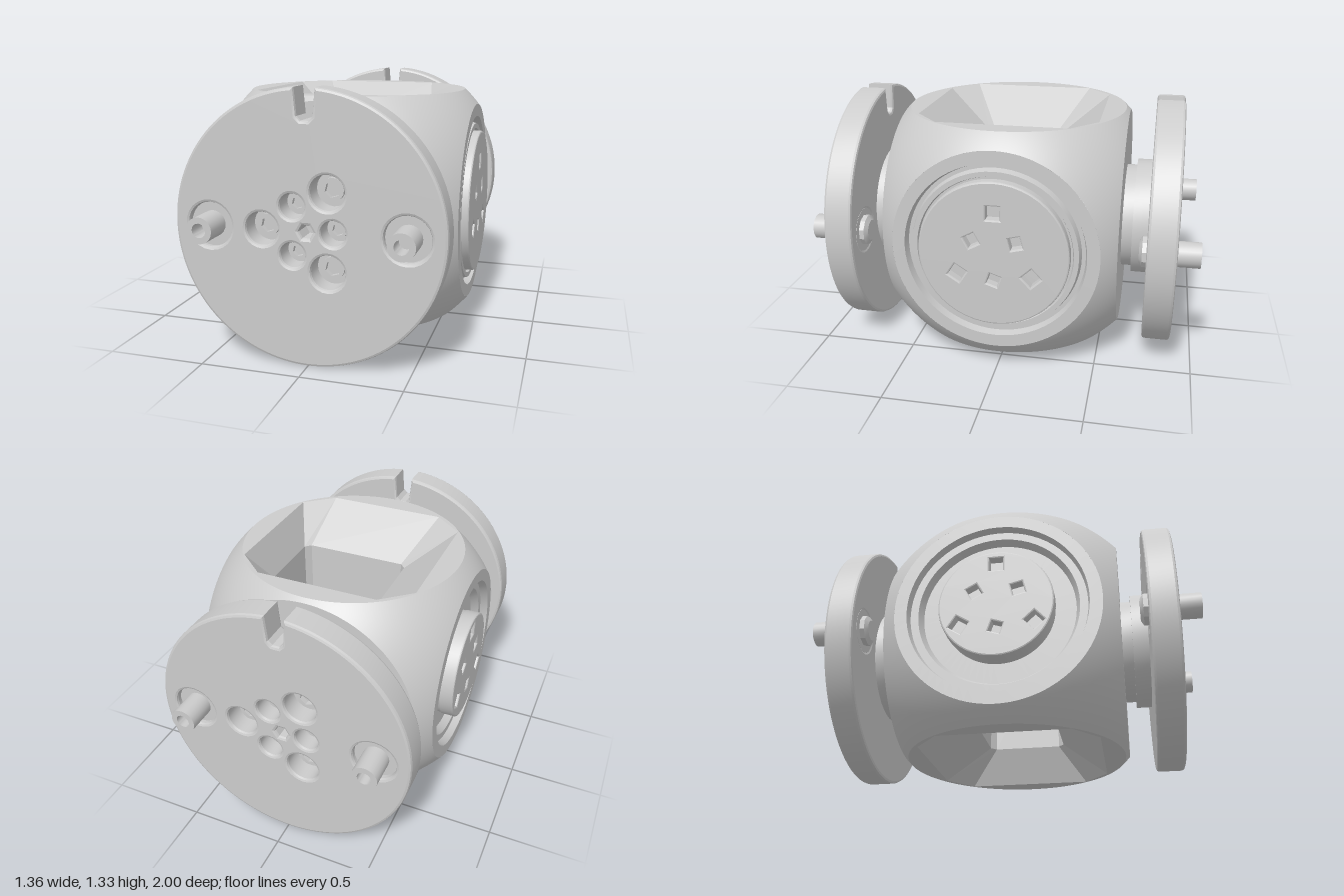
import * as THREE from 'three';
import { toCreasedNormals } from 'three/addons/utils/BufferGeometryUtils.js';

const grey = new THREE.MeshStandardMaterial({ color: 0xcccccc });
const facet = new THREE.MeshStandardMaterial({ color: 0xcccccc, flatShading: true, side: THREE.DoubleSide });
const R = 0.835;                 // sphere that rounds the body
const HALF = [0.65, 0.6, 0.6];   // half sizes of the flat cuts
const rim = (h) => Math.sqrt(R * R - h * h);

function add(parent, name, geometry, material = grey) {
  const mesh = new THREE.Mesh(geometry, material);
  mesh.name = name;
  parent.add(mesh);
  return mesh;
}

// Turned part around +z from [radius, height] pairs
function turned(profile, segments = 48) {
  const pts = profile.map(([r, h]) => new THREE.Vector2(r, h));
  return toCreasedNormals(new THREE.LatheGeometry(pts, segments).rotateX(Math.PI / 2), 0.35);
}

// Regular polygon path, used for outlines and holes
function ngon(x, y, r, n, turn = 0, Type = THREE.Path) {
  const pts = [];
  for (let i = 0; i < n; i++) {
    const a = turn + (i / n) * Math.PI * 2;
    pts.push(new THREE.Vector2(x + r * Math.cos(a), y + r * Math.sin(a)));
  }
  return new Type(pts);
}

// Plate between z0 and z1 with chamfered edges
function plate(shape, z0, z1, bevel) {
  const geo = new THREE.ExtrudeGeometry(shape, {
    depth: z1 - z0 - 2 * bevel, bevelEnabled: bevel > 0, bevelThickness: bevel,
    bevelSize: bevel, bevelOffset: -bevel, bevelSegments: 2, curveSegments: 64,
  });
  return toCreasedNormals(geo.translate(0, 0, z0 + bevel), 0.3);
}

// Spherical skin: on each side, from the flat's circular rim out to the box border
function skinGeometry() {
  const pos = [], index = [], N = 96, M = 6;
  for (let axis = 0; axis < 3; axis++) for (const sign of [1, -1]) {
    const u = (axis + 1) % 3, v = (axis + 2) % 3, r = rim(HALF[axis]), base = pos.length / 3;
    for (let j = 0; j <= M; j++) for (let i = 0; i <= N; i++) {
      const a = (i / N) * Math.PI * 2, c = Math.cos(a), s = Math.sin(a);
      const k = 1 / Math.max(Math.abs(c), Math.abs(s)), t = j / M;
      const p = [0, 0, 0];
      p[axis] = sign * HALF[axis];
      p[u] = sign * THREE.MathUtils.lerp(r * c, HALF[u] * k * c, t);
      p[v] = THREE.MathUtils.lerp(r * s, HALF[v] * k * s, t);
      pos.push(...new THREE.Vector3(...p).setLength(R).toArray());
      if (i < N && j < M) {
        const q = base + j * (N + 1) + i, o = q + N + 1;
        index.push(q, o, o + 1, q, o + 1, q + 1);
      }
    }
  }
  const geo = new THREE.BufferGeometry();
  geo.setAttribute('position', new THREE.Float32BufferAttribute(pos, 3));
  geo.setAttribute('normal', new THREE.Float32BufferAttribute(pos.map((n) => n / R), 3));
  geo.setIndex(index);
  return geo;
}

// Rectangle with cut corners
function cutRect(cx, w, d, cw, cd) {
  return [[w, -d + cd], [w, d - cd], [w - cw, d], [-w + cw, d], [-w, d - cd], [-w, -d + cd], [-w + cw, -d], [w - cw, -d]]
    .map(([x, z]) => new THREE.Vector2(cx + x, z));
}
const mouth = cutRect(0, 0.465, 0.465, 0.15, 0.13);
const throat = cutRect(0.085, 0.305, 0.217, 0.03, 0.03);

// Passage from top to bottom: a funnel at each end of a straight bore
function passageGeometry() {
  const pos = [], index = [];
  [[mouth, 0.6], [throat, 0.4], [throat, -0.4], [mouth, -0.6]].forEach(([ring, y], j) => {
    ring.forEach((p, i) => {
      pos.push(p.x, y, p.y);
      if (j < 3) {
        const a = j * 8 + i, b = j * 8 + ((i + 1) % 8);
        index.push(a, b, a + 8, b, b + 8, a + 8);
      }
    });
  });
  const geo = new THREE.BufferGeometry();
  geo.setAttribute('position', new THREE.Float32BufferAttribute(pos, 3));
  geo.setIndex(index);
  geo.computeVertexNormals();
  return geo;
}

// Rotating face seated in the side of the body, with six square holes
function rotor(name, radius, bottom, seatProfile) {
  const g = new THREE.Group();
  g.name = name;
  add(g, 'rotorSeat', turned([[rim(0.65), 0.65], [0.46, 0.65], ...seatProfile, [0, 0.63]], 64));
  const face = ngon(0, 0, radius, 48, 0, THREE.Shape);
  [[0, 0.22, 0.05], [0.11, 0.07, 0.043], [-0.11, 0.07, 0.043], [0.19, -0.11, 0.05], [-0.185, -0.11, 0.05], [0, -0.135, 0.04]]
    .forEach(([x, y, r], i) => face.holes.push(ngon(x, y, r, 4, Math.PI / 4 + i * 0.25)));
  add(g, 'rotorFace', plate(face, bottom, 0.68, 0.008));
  return g;
}

// Flange with hub, notch, recessed screws and two pins, facing +z
function flange(name) {
  const g = new THREE.Group();
  g.name = name;
  add(g, 'hub', turned([[0.28, 0.58], [0.28, 0.655], [0.313, 0.655], [0.313, 0.75]]));

  const r = 0.667, bevel = 0.014, gap = 0.05 / r;
  const disc = new THREE.Shape();
  disc.absarc(0, 0, r, Math.PI / 2 + gap, Math.PI * 2.5 - gap, false);
  disc.lineTo(0.038, 0.535);
  disc.lineTo(0.018, 0.515);
  disc.lineTo(-0.018, 0.515);
  disc.lineTo(-0.038, 0.535);
  disc.closePath();

  const screws = [[-0.22, 0, 0.095], [0.105, 0.19, 0.098], [0.105, -0.19, 0.098],
    [-0.068, 0.117, 0.075], [-0.068, -0.117, 0.075], [0.132, 0, 0.075]];
  const pins = [[-0.485, 0, 0.125], [0.482, 0, 0.125]];
  const recesses = [...screws, ...pins, [0, 0, 0.05]];
  recesses.forEach(([x, y, rad], i) => disc.holes.push(ngon(x, y, rad - bevel, i === 8 ? 6 : 24)));
  add(g, 'flangeDisc', plate(disc, 0.737, 0.884, bevel));

  // Floors of the recesses: deep for the screws, shallow around the pins
  recesses.forEach(([x, y, rad], i) => {
    const depth = i === 6 || i === 7 ? 0.11 : 0.035;
    const floor = new THREE.CylinderGeometry(rad - 0.01, rad - 0.01, depth, 24).rotateX(Math.PI / 2);
    add(g, 'recessFloor', toCreasedNormals(floor, 0.6)).position.set(x, y, 0.74 + depth / 2);
  });
  // Screw heads with hex sockets
  screws.forEach(([x, y, rad]) => {
    const head = ngon(0, 0, rad * 0.58, 16, 0, THREE.Shape);
    head.holes.push(ngon(0, 0, rad * 0.4, 6, 0.3));
    add(g, 'screwHead', plate(head, 0.77, 0.8, 0)).position.set(x, y, 0);
  });
  // Hollow pins with a rounded head on the inner side
  pins.forEach(([x, y]) => {
    add(g, 'pin', turned([[0.065, 0.78], [0.065, 1], [0.035, 1], [0.035, 0.9], [0, 0.9]], 20)).position.set(x, y, 0);
    add(g, 'pinHead', turned([[0, 0.7], [0.055, 0.7], [0.08, 0.715], [0.08, 0.75]], 10)).position.set(x, y, 0);
  });
  return g;
}

export function createModel() {
  const model = new THREE.Group();
  model.name = 'jointModule';
  const core = new THREE.Group();
  core.name = 'core';
  core.position.y = 0.667;
  model.add(core);

  add(core, 'bodySkin', skinGeometry());
  add(core, 'passage', passageGeometry(), facet);
  for (const s of [1, -1]) {
    // Flat cuts: top and bottom with the passage mouth, front and back plain
    const top = ngon(0, 0, rim(0.6), 96, 0, THREE.Shape);
    top.holes.push(new THREE.Path(mouth));
    add(core, 'mouthFlat', new THREE.ShapeGeometry(top).rotateX(-s * Math.PI / 2)).position.y = s * 0.6;
    const end = add(core, 'endFlat', new THREE.CircleGeometry(rim(0.6), 96));
    end.position.z = s * 0.6;
    end.rotation.y = s > 0 ? 0 : Math.PI;

    const f = flange(s > 0 ? 'frontFlange' : 'backFlange');
    f.rotation.y = s > 0 ? 0 : Math.PI;
    core.add(f);
  }

  const left = rotor('leftRotor', 0.38, 0.62, [[0.45, 0.61], [0.43, 0.61], [0.42, 0.645], [0.395, 0.645], [0.39, 0.63]]);
  left.rotation.y = Math.PI / 2;
  const right = rotor('rightRotor', 0.29, 0.6, [[0.45, 0.61], [0.41, 0.61], [0.39, 0.57], [0.285, 0.57], [0.285, 0.63]]);
  right.rotation.y = -Math.PI / 2;
  core.add(left, right);
  return model;
}
